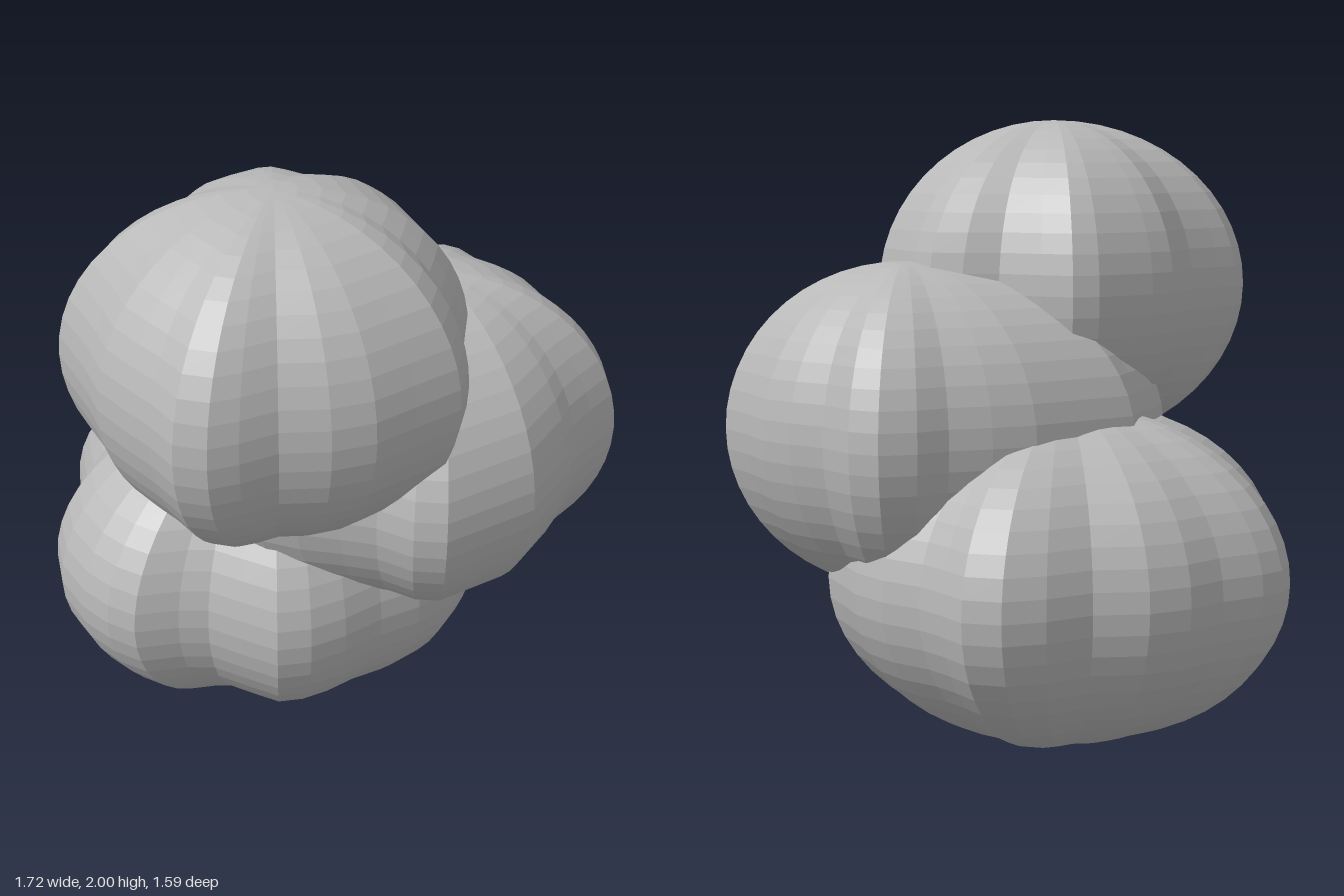
import * as THREE from 'three';

const RINGS = 26;

// Ribbed blob: one lumpy plan outline [x, z] shrunk towards a vertical axis by a half-ellipse.
function ribbedBlob(name, material, [cx, cy, cz], ry, outline) {
  const n = outline.length;
  const positions = [];
  const indices = [];
  for (let i = 0; i <= RINGS; i++) {
    const angle = (Math.PI * i) / RINGS;
    const s = Math.sin(angle);
    for (const [x, z] of outline) {
      positions.push((x - cx) * s, Math.cos(angle) * ry, (z - cz) * s);
    }
  }
  for (let i = 0; i < RINGS; i++) {
    for (let j = 0; j < n; j++) {
      const k = (j + 1) % n;
      const a = i * n + j, c = i * n + k;
      const b = a + n, d = c + n;
      if (i > 0) indices.push(a, c, d);
      if (i < RINGS - 1) indices.push(a, d, b);
    }
  }
  const indexed = new THREE.BufferGeometry();
  indexed.setAttribute('position', new THREE.Float32BufferAttribute(positions, 3));
  indexed.setIndex(indices);
  // Separate faces give the faceted look
  const geometry = indexed.toNonIndexed();
  geometry.computeVertexNormals();
  const mesh = new THREE.Mesh(geometry, material);
  mesh.name = name;
  mesh.position.set(cx, cy, cz);
  return mesh;
}

export function createModel() {
  const group = new THREE.Group();
  group.name = 'blobStack';
  const grey = new THREE.MeshStandardMaterial({ color: 0xb8b8b8 });
  grey.name = 'grey';

  // Lowest blob, set to the back
  group.add(ribbedBlob('bottomBlob', grey, [-0.06, 0.55, -0.14], 0.55, [
    [-0.84, -0.04], [-0.84, -0.2], [-0.79, -0.34], [-0.7, -0.42], [-0.61, -0.5], [-0.58, -0.59],
    [-0.53, -0.71], [-0.44, -0.78], [-0.35, -0.79], [-0.2, -0.78], [-0.06, -0.8], [0.08, -0.78],
    [0.23, -0.7], [0.39, -0.69], [0.52, -0.65], [0.6, -0.56], [0.6, -0.45], [0.61, -0.34],
    [0.66, -0.2], [0.67, -0.06], [0.64, 0.08], [0.62, 0.2], [0.56, 0.29], [0.44, 0.35],
    [0.34, 0.43], [0.22, 0.5], [0.08, 0.52], [-0.06, 0.51], [-0.2, 0.52], [-0.32, 0.51],
    [-0.42, 0.47], [-0.49, 0.36], [-0.55, 0.26], [-0.63, 0.21], [-0.76, 0.16], [-0.81, 0.07],
  ]));

  // Middle blob, to the side and forward
  group.add(ribbedBlob('middleBlob', grey, [0.33, 1.015, 0.19], 0.535, [
    [-0.33, -0.28], [-0.23, -0.34], [-0.14, -0.41], [0, -0.41], [0.1, -0.41], [0.23, -0.41],
    [0.37, -0.38], [0.5, -0.34], [0.61, -0.34], [0.72, -0.3], [0.77, -0.21], [0.78, -0.07],
    [0.83, 0.05], [0.86, 0.17], [0.84, 0.32], [0.84, 0.47], [0.79, 0.56], [0.67, 0.6],
    [0.57, 0.64], [0.5, 0.69], [0.4, 0.74], [0.3, 0.79], [0.14, 0.79], [-0.02, 0.79],
    [-0.1, 0.73], [-0.16, 0.62], [-0.24, 0.54], [-0.34, 0.45], [-0.42, 0.35], [-0.48, 0.22],
    [-0.49, 0.1], [-0.46, 0], [-0.46, -0.12], [-0.41, -0.21],
  ]));

  // Top blob, to the other side
  group.add(ribbedBlob('topBlob', grey, [-0.27, 1.45, 0.22], 0.55, [
    [-0.82, -0.12], [-0.73, -0.19], [-0.65, -0.2], [-0.52, -0.22], [-0.36, -0.32], [-0.27, -0.33],
    [-0.18, -0.33], [-0.06, -0.33], [0.02, -0.3], [0.08, -0.21], [0.15, -0.08], [0.25, -0.02],
    [0.33, 0.05], [0.34, 0.14], [0.32, 0.28], [0.3, 0.41], [0.23, 0.49], [0.16, 0.56],
    [0.12, 0.67], [0.03, 0.76], [-0.13, 0.77], [-0.27, 0.78], [-0.4, 0.75], [-0.53, 0.68],
    [-0.65, 0.67], [-0.74, 0.65], [-0.81, 0.58], [-0.82, 0.46], [-0.84, 0.36], [-0.86, 0.22],
    [-0.84, 0.11], [-0.83, 0],
  ]));

  return group;
}
